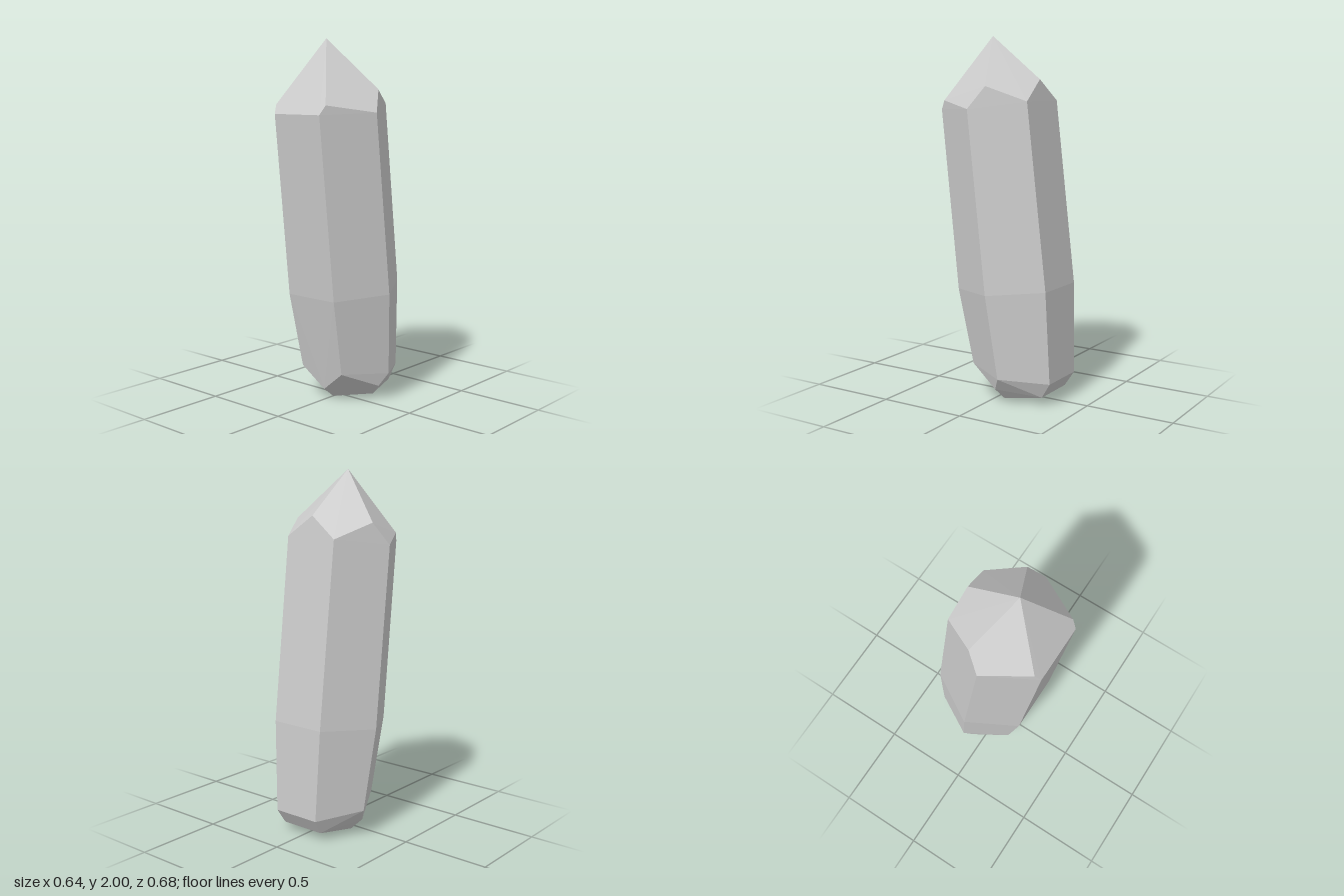
import * as THREE from 'three';
import { ConvexGeometry } from 'three/addons/geometries/ConvexGeometry.js';

// Corners on the middle plane: x = 0
const ridge = [
  [0, 2.0, 0.107],      // tip
  [0, 1.765, -0.192],   // back of the tip
  [0, 0.06, 0.13],      // front of the foot
  [0, 0, 0.055],        // lowest point
];

// Corners of one half, mirrored to the other
const half = [
  // shoulder
  [0.16, 1.6, 0.342], [0.178, 1.65, 0.312],
  [0.317, 1.61, 0.067], [0.263, 1.73, -0.013],
  [0.159, 1.65, -0.207],
  // bend of the six-sided shaft
  [0.164, 0.6, 0.235], [0.322, 0.62, -0.045], [0.16, 0.64, -0.325],
  // foot
  [0.145, 0.175, 0.15], [0.28, 0.155, -0.097], [0.14, 0.13, -0.342],
  [0.24, 0.083, -0.057], [0.18, 0.02, -0.08], [0.13, 0.045, -0.288],
];

export function createModel() {
  const group = new THREE.Group();
  group.name = 'crystal';

  const points = ridge.map((p) => new THREE.Vector3(...p));
  for (const [x, y, z] of half) {
    for (const side of [1, -1]) points.push(new THREE.Vector3(side * x, y, z));
  }

  // Faceted crystal body
  const body = new THREE.Mesh(
    new ConvexGeometry(points),
    new THREE.MeshStandardMaterial({ color: 0xcccccc, flatShading: true })
  );
  body.name = 'crystalBody';
  group.add(body);
  return group;
}
